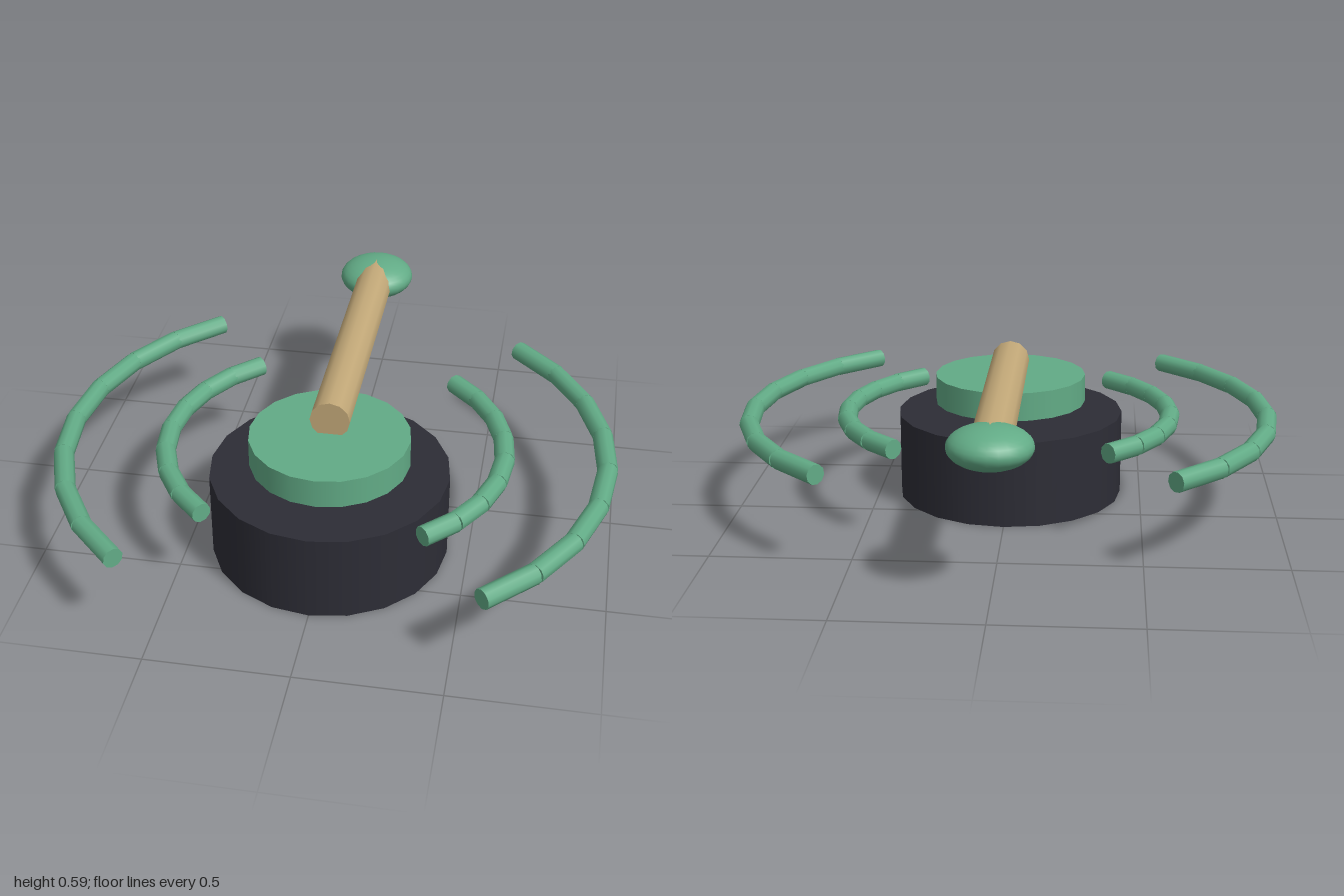
import * as THREE from 'three';

export function createModel() {
  const green = new THREE.MeshStandardMaterial({ color: 0x62ab86 });
  green.name = 'green';
  const tan = new THREE.MeshStandardMaterial({ color: 0xc2a878 });
  tan.name = 'tan';
  const charcoal = new THREE.MeshStandardMaterial({ color: 0x2d2d36 });
  charcoal.name = 'charcoal';

  const model = new THREE.Group();
  model.name = 'model';
  const add = (parent, name, geometry, material, x, y, z) => {
    const mesh = new THREE.Mesh(geometry, material);
    mesh.name = name;
    mesh.position.set(x, y, z);
    parent.add(mesh);
    return mesh;
  };

  // Drum base with a cap hovering just above it
  const centreZ = 0.268;
  add(model, 'base', new THREE.CylinderGeometry(0.425, 0.425, 0.32, 20), charcoal, 0, 0.16, centreZ);
  add(model, 'cap', new THREE.CylinderGeometry(0.284, 0.284, 0.105, 20), green, 0, 0.411, centreZ);

  // Handle reaching back to a flattened knob
  const handle = add(model, 'handle', new THREE.CylinderGeometry(0.071, 0.071, 1.067, 12), tan, 0, 0.518, -0.2655);
  handle.rotation.x = Math.PI / 2;
  const knob = add(model, 'knob', new THREE.SphereGeometry(0.142, 24, 16), green, 0, 0.518, -0.799);
  knob.scale.y = 0.5;

  // Curved wave arcs on both sides, each a chain of straight rods
  const up = new THREE.Vector3(0, 1, 0);
  const steps = 8;
  const halfAngle = 0.905;
  const addArc = (name, radius, side) => {
    const arc = new THREE.Group();
    arc.name = name;
    arc.position.set(0, 0.343, 0.155);
    const point = (i) => {
      const a = halfAngle * (2 * i / steps - 1);
      return new THREE.Vector3(side * radius * Math.cos(a), 0, radius * Math.sin(a));
    };
    for (let i = 0; i < steps; i++) {
      const from = point(i);
      const along = point(i + 1).sub(from);
      const middle = from.clone().addScaledVector(along, 0.5);
      const rod = add(arc, 'arcRod', new THREE.CylinderGeometry(0.036, 0.036, along.length(), 10),
        green, middle.x, 0, middle.z);
      rod.quaternion.setFromUnitVectors(up, along.normalize());
    }
    model.add(arc);
  };
  for (const [label, side] of [['left', 1], ['right', -1]]) {
    addArc(label + 'InnerArc', 0.604, side);
    addArc(label + 'OuterArc', 0.963, side);
  }

  return model;
}
